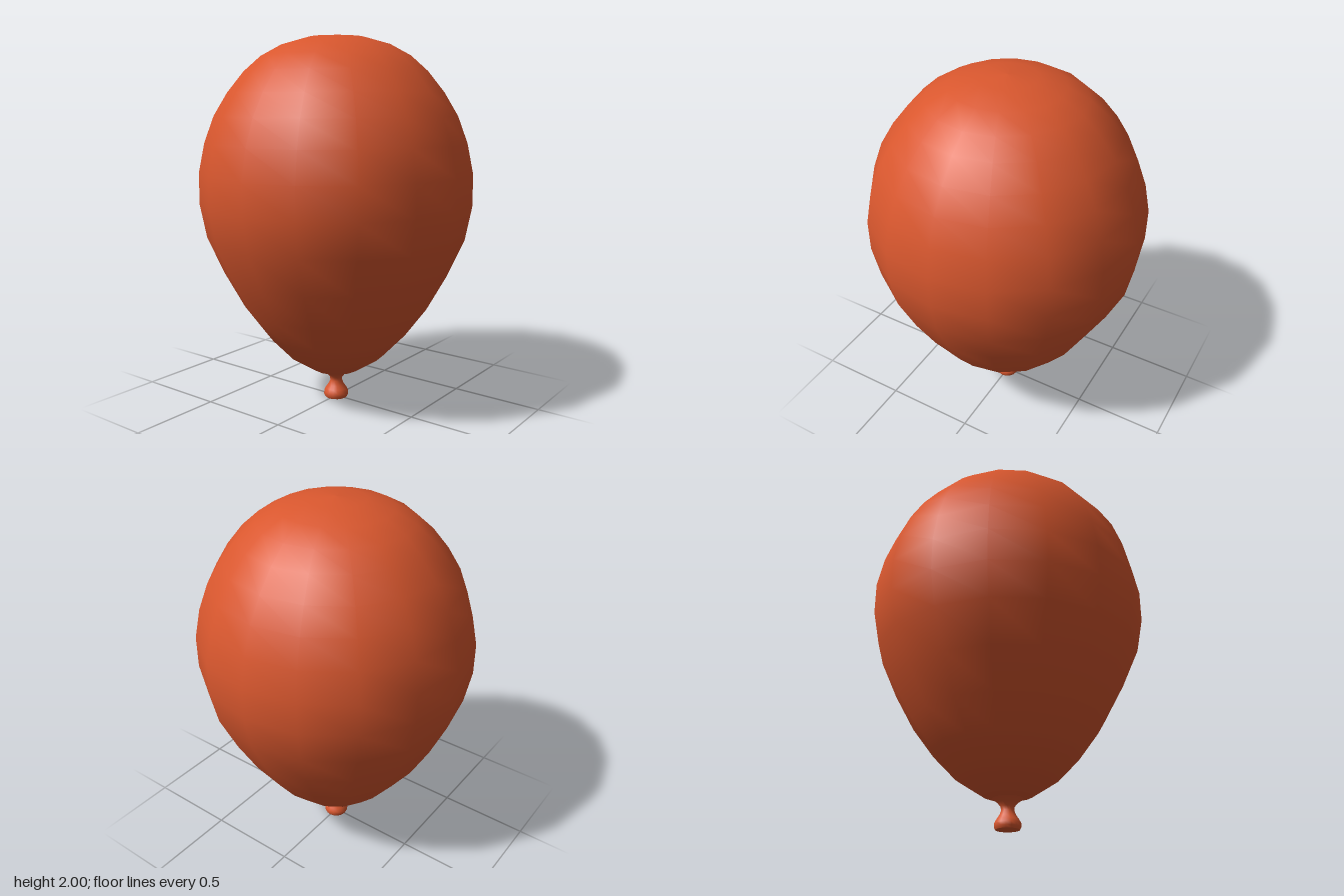
import * as THREE from 'three';

const material = new THREE.MeshStandardMaterial({ color: 0xd9572e, side: THREE.DoubleSide });

// Surface of revolution from [radius, height] pairs, listed bottom to top
function turned(name, profile, sides) {
  const points = profile.map(([r, y]) => new THREE.Vector2(r, y));
  const mesh = new THREE.Mesh(new THREE.LatheGeometry(points, sides), material);
  mesh.name = name;
  return mesh;
}

export function createModel() {
  const balloon = new THREE.Group();
  balloon.name = 'balloon';

  // Inflated teardrop body
  balloon.add(turned('body', [
    [0, 0.15], [0.06, 0.15], [0.13, 0.17], [0.27, 0.26], [0.39, 0.385], [0.505, 0.54],
    [0.61, 0.73], [0.7, 0.93], [0.735, 1.11], [0.735, 1.28], [0.702, 1.44],
    [0.65, 1.58], [0.578, 1.7], [0.49, 1.81], [0.4, 1.89], [0.29, 1.95],
    [0.15, 1.99], [0, 2],
  ], 16));

  // Pinched neck flaring into the knot
  balloon.add(turned('neck', [
    [0.062, 0], [0.069, 0.014], [0.068, 0.032], [0.058, 0.05], [0.044, 0.07],
    [0.033, 0.095], [0.036, 0.115], [0.052, 0.135], [0.08, 0.155],
  ], 16));

  // Flat underside of the knot
  const mouth = new THREE.Mesh(new THREE.CircleGeometry(0.062, 16), material);
  mouth.name = 'mouth';
  mouth.rotation.x = Math.PI / 2;
  balloon.add(mouth);

  return balloon;
}
